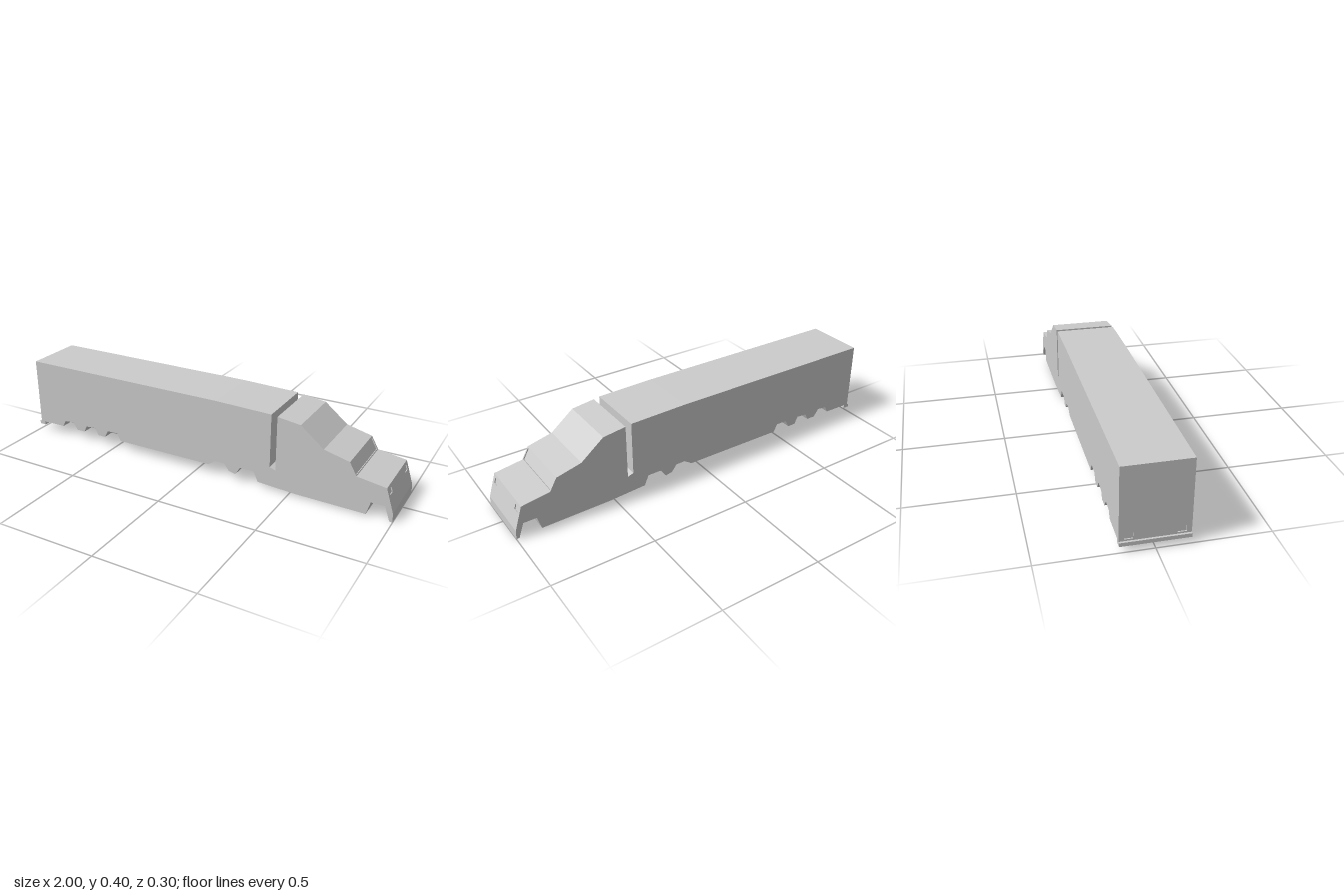
import * as THREE from 'three';

const HALF = 0.152;   // half width of the truck
const INSET = 0.005;  // depth of windows and lamps

// Side outline, clockwise from the lower rear corner
const outline = [
  [-0.99, 0.048], [-0.99, 0.397], [0.11, 0.397], [0.4, 0.39],              // trailer box
  [0.4, 0.12], [0.43, 0.11], [0.43, 0.385],                                // gap behind the cab
  [0.545, 0.37], [0.66, 0.277], [0.785, 0.246], [0.82, 0.184],             // cab roof, windscreen
  [0.96, 0.163], [0.998, 0.045], [1, 0], [0.985, 0.003],                   // bonnet and nose
  [0.96, 0.073], [0.895, 0.073], [0.877, 0.008], [0.53, 0.013], [0.34, 0.025], // front arch, sill
  [0.318, 0.075], [0.245, 0.075], [0.22, 0.035], [0.185, 0.042],           // drive axle arches
  [0.158, 0.077], [0.11, 0.077], [0.07, 0.05],
  [-0.457, 0.05], [-0.477, 0.09], [-0.537, 0.088], [-0.558, 0.05],         // trailer axle arches
  [-0.6, 0.05], [-0.62, 0.088], [-0.677, 0.083], [-0.693, 0.05],
  [-0.74, 0.05], [-0.767, 0.088], [-0.82, 0.083], [-0.837, 0.05],
  [-0.968, 0.048], [-0.965, 0.03], [-1, 0.03], [-1, 0.048],                // rear bumper
].map(([x, y]) => new THREE.Vector2(x, y));

// Cross-body panels: outline edge index and openings [z0, z1, s0, s1],
// with s measured along the edge
const panels = [
  { name: 'rearLampPanel', edge: 0, holes: [[0.092, 0.13, 0.008, 0.036], [-0.13, -0.092, 0.008, 0.036]] },
  { name: 'windscreenFrame', edge: 9, holes: [[-0.145, 0.145, 0.007, 0.066]] },
  { name: 'headlampPanel', edge: 11, holes: [[0.1, 0.134, 0.016, 0.042], [-0.134, -0.1, 0.016, 0.042]] },
];

const polygon = (pts) => new THREE.Shape(pts);
const rect = (x0, x1, y0, y1) => polygon([[x0, y0], [x1, y0], [x1, y1], [x0, y1]]
  .map(([x, y]) => new THREE.Vector2(x, y)));
const extrude = (shape, depth) => new THREE.ExtrudeGeometry(shape, { depth, bevelEnabled: false });

// Unit direction and outward normal of an outline edge
function edgeFrame(i) {
  const a = outline[i], b = outline[i + 1];
  const length = a.distanceTo(b);
  const t = b.clone().sub(a).divideScalar(length);
  return { a, b, t, n: new THREE.Vector2(-t.y, t.x), length };
}

export function createModel() {
  const group = new THREE.Group();
  const material = new THREE.MeshStandardMaterial({ color: 0xcccccc, flatShading: true });
  const add = (name, geometry) => {
    const mesh = new THREE.Mesh(geometry, material);
    mesh.name = name;
    group.add(mesh);
    return mesh;
  };

  // Core body, set back behind each panel
  const inner = HALF - INSET;
  const corePoints = [];
  outline.forEach((p, i) => {
    corePoints.push(p);
    if (panels.some((panel) => panel.edge === i)) {
      const { a, b, n } = edgeFrame(i);
      corePoints.push(a.clone().addScaledVector(n, -INSET), b.clone().addScaledVector(n, -INSET));
    }
  });
  add('body', extrude(polygon(corePoints), inner * 2)).position.z = -inner;

  // Side skins with the door window cut out
  const skin = polygon(outline);
  skin.holes.push(polygon([[0.69, 0.237], [0.762, 0.236], [0.757, 0.172], [0.698, 0.18]]
    .map(([x, y]) => new THREE.Vector2(x, y))));
  add('leftSide', extrude(skin, INSET)).position.z = inner;
  add('rightSide', extrude(skin, INSET)).position.z = -HALF;

  // Windscreen frame and lamp panels, flush with the outline
  for (const { name, edge, holes } of panels) {
    const { a, t, n, length } = edgeFrame(edge);
    const shape = rect(-inner, inner, 0, length);
    for (const h of holes) shape.holes.push(rect(...h));
    const geometry = extrude(shape, INSET);
    geometry.applyMatrix4(new THREE.Matrix4().makeBasis(
      new THREE.Vector3(0, 0, 1),
      new THREE.Vector3(t.x, t.y, 0),
      new THREE.Vector3(n.x, n.y, 0),
    ));
    add(name, geometry).position.set(a.x - n.x * INSET, a.y - n.y * INSET, 0);
  }
  return group;
}
